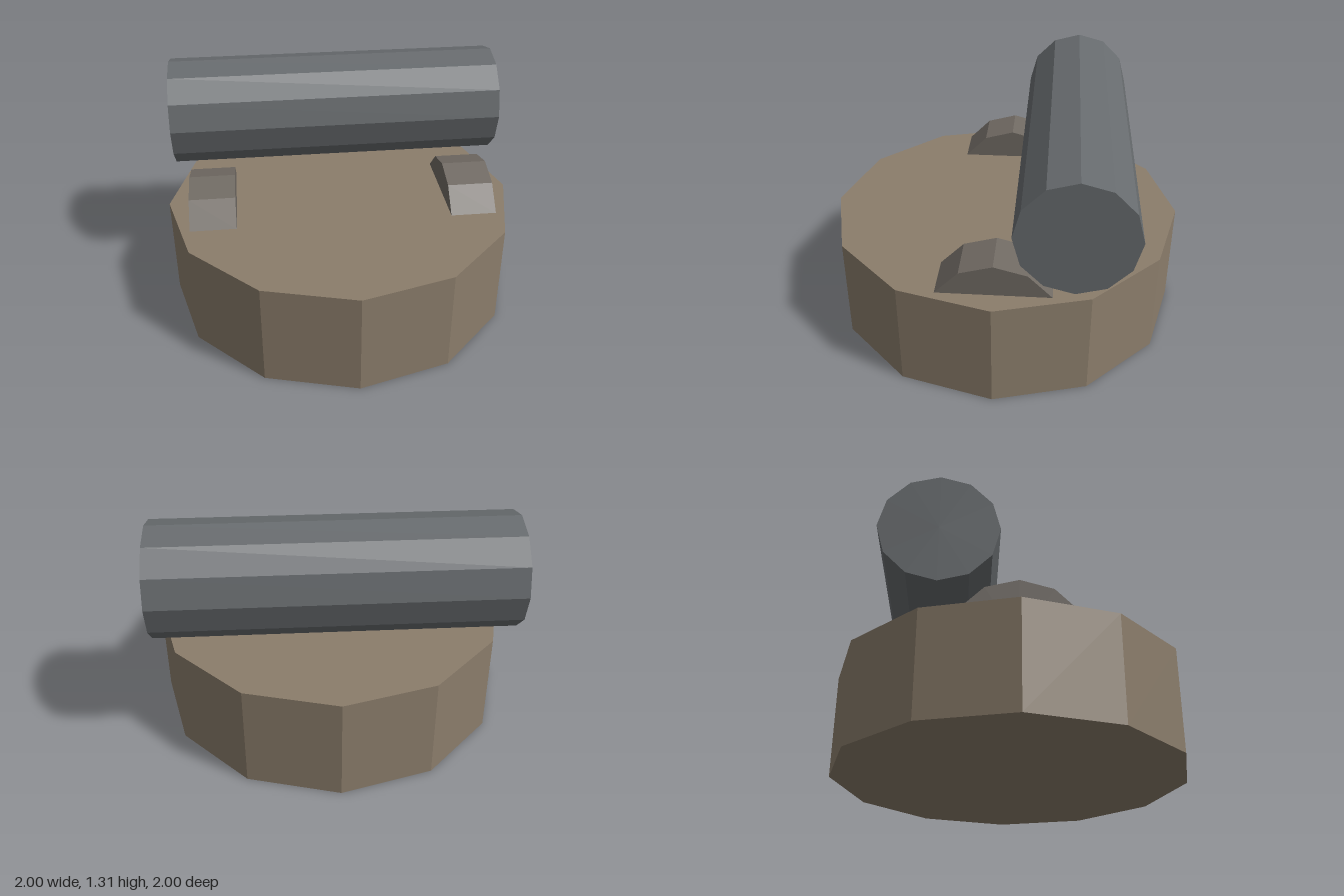
import * as THREE from 'three';

const SIDES = 12;

function material(color) {
  return new THREE.MeshStandardMaterial({ color, flatShading: true });
}

// Twelve-sided drum, upright or lying along x, with a corner pointing up when lying
function drum(name, radius, length, mat, alongX) {
  const geometry = new THREE.CylinderGeometry(radius, radius, length, SIDES);
  if (alongX) geometry.rotateZ(Math.PI / 2);
  const mesh = new THREE.Mesh(geometry, mat);
  mesh.name = name;
  return mesh;
}

export function createModel() {
  const model = new THREE.Group();
  model.name = 'rollerOnBase';

  // Round stone base
  const baseHeight = 0.592;
  const base = drum('base', 1, baseHeight, material(0x8b7d6b), false);
  base.position.y = baseHeight / 2;
  model.add(base);

  // Two small drums sunk into the top of the base
  const supportMaterial = material(0x706a63);
  for (const side of [-1, 1]) {
    const support = drum(side > 0 ? 'leftSupport' : 'rightSupport', 0.35, 0.26, supportMaterial, true);
    support.position.set(side * 0.74, 0.415, 0);
    model.add(support);
  }

  // Long roller above the rear half
  const roller = drum('roller', 0.31, 1.92, material(0x676b6e), true);
  roller.position.set(0, 1.003, -0.408);
  model.add(roller);

  return model;
}
